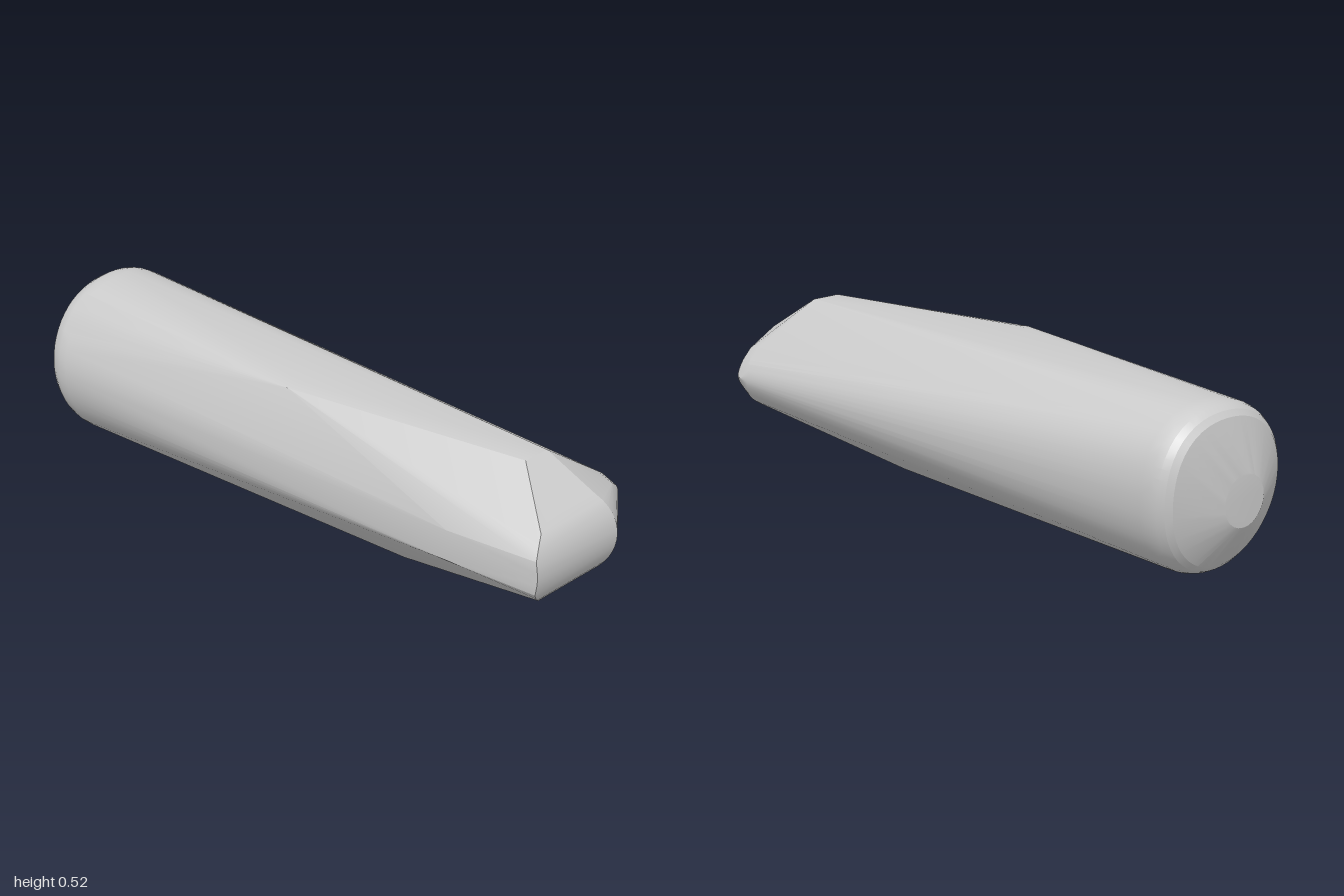
import * as THREE from 'three';
import { ConvexGeometry } from 'three/addons/geometries/ConvexGeometry.js';
import { toCreasedNormals } from 'three/addons/utils/BufferGeometryUtils.js';

export function createModel() {
  const group = new THREE.Group();
  const pts = [];
  const add = (x, y, z) => pts.push(new THREE.Vector3(x, y, z));
  const curve = (list, n) => new THREE.CatmullRomCurve3(list.map(p => new THREE.Vector3(...p)), false, 'centripetal')
    .getPoints(n).forEach(p => pts.push(p));

  // rounded rear cap: slightly tilted rings, fuller towards the upper right
  const rings = [[1, -0.855], [0.995, -0.885], [0.97, -0.91], [0.925, -0.93], [0.86, -0.945]];
  const sides = 56;
  for (const [s, z] of rings) {
    for (let i = 0; i < sides; i++) {
      const a = (i / sides) * Math.PI * 2;
      const r = (0.245 + 0.03 * Math.max(0, Math.cos(a - Math.PI / 4)) ** 6) * s;
      const dx = r * Math.cos(a), dy = r * Math.sin(a);
      add(-0.025 + dx, 0.267 + dy, z - 0.05 * dx - 0.08 * dy);
    }
  }
  // small flat rear disc
  for (let i = 0; i < 24; i++) {
    const a = (i / 24) * Math.PI * 2;
    add(-0.035 + 0.075 * Math.cos(a), 0.255 + 0.075 * Math.sin(a), -1);
  }

  // rounded front nose, a horizontal half barrel
  for (let i = 0; i <= 14; i++) {
    const t = -1 + (2 * i) / 14;
    const c = Math.sqrt(1 - 0.85 * t * t);
    const y = 0.255 + 0.116 * t, z = 0.9 + 0.1 * c;
    add(0.045 + 0.03 * (1 - t * t), y, z);
    add(-0.15 - 0.12 * Math.sqrt(Math.max(0, 1 - Math.max(0, (Math.abs(t) - 0.38) / 0.62) ** 1.2)), y, z);
  }

  // rounded right shoulder
  curve([[0.1, 0.11, 0.86], [0.2, 0.153, 0.84], [0.25, 0.19, 0.825], [0.278, 0.232, 0.8], [0.283, 0.255, 0.79],
    [0.278, 0.28, 0.79], [0.26, 0.305, 0.81], [0.2, 0.345, 0.83]], 24);
  curve([[0.2, 0.175, 0.885], [0.25, 0.215, 0.865], [0.272, 0.255, 0.855], [0.25, 0.29, 0.865], [0.2, 0.325, 0.885]], 16);
  add(0.283, 0.255, 0.83);

  // left flat edge and cheek
  for (const y of [0.21, 0.3]) { add(-0.285, y, 0.7); add(-0.268, y, 0.99); }
  add(-0.235, 0.365, 0.8);

  // top ridge corners
  add(-0.215, 0.49, 0.05);
  add(-0.175, 0.499, 0.05);
  add(-0.082, 0.467, 0.8);
  add(0.01, 0.467, 0.8);

  // rounded keel under the front
  curve([[-0.075, 0.012, 0.37], [-0.055, 0.003, 0.37], [-0.035, 0, 0.37], [-0.015, 0.003, 0.37], [0.005, 0.012, 0.37]], 10);

  const body = new THREE.Mesh(
    toCreasedNormals(new ConvexGeometry(pts), 0.3),
    new THREE.MeshStandardMaterial({ color: 0xcccccc })
  );
  body.name = 'body';
  group.add(body);
  return group;
}
